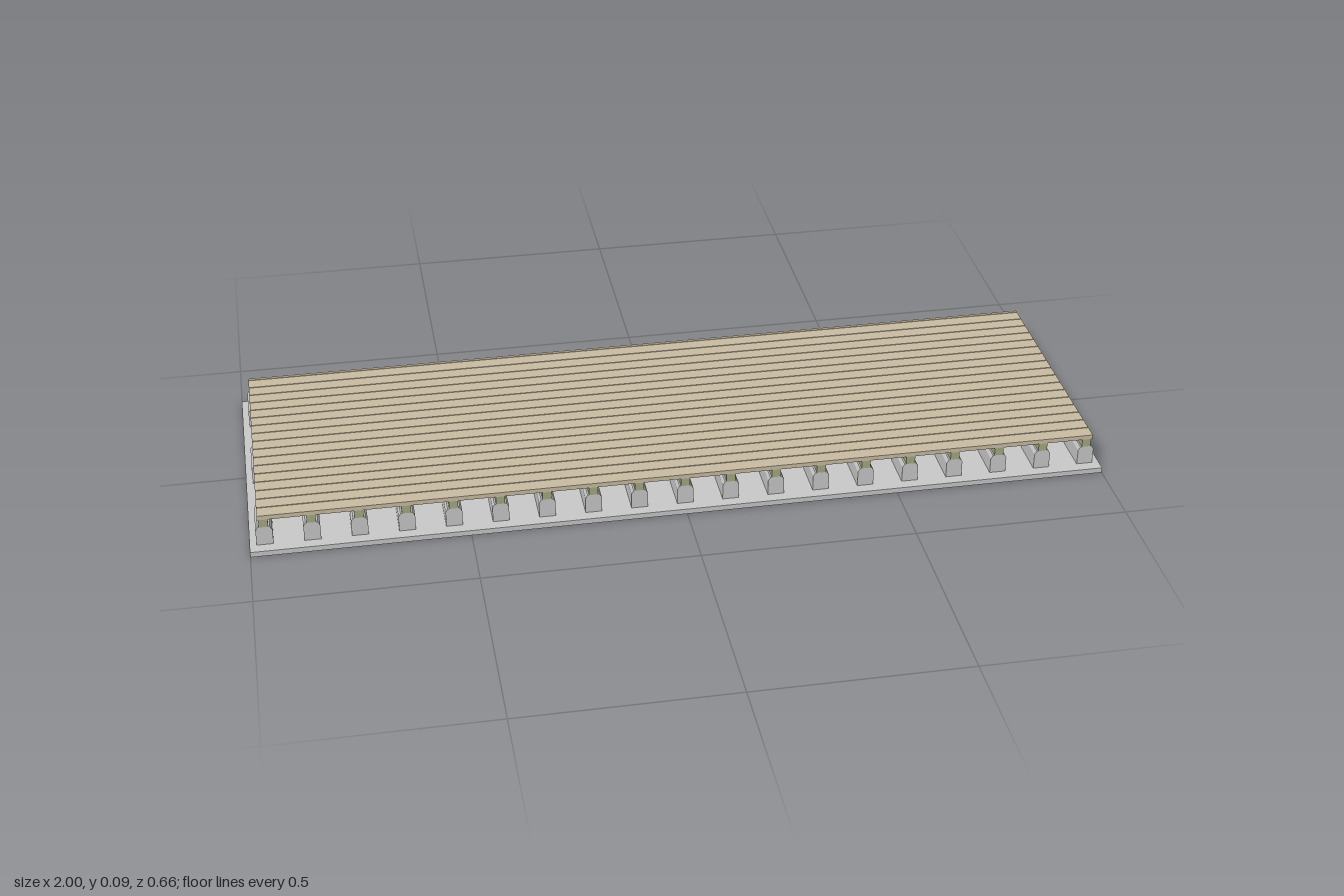
import * as THREE from 'three';

export function createModel() {
  const model = new THREE.Group();
  const material = (name, color) => {
    const m = new THREE.MeshStandardMaterial({ color });
    m.name = name;
    return m;
  };
  const concrete = material('concrete grey', 0xc8c8c8);
  const joistWood = material('joist green', 0xa4a880);
  const boardWood = material('board tan', 0xc8bca2);

  const add = (name, geometry, mat, x, y, z) => {
    const mesh = new THREE.Mesh(geometry, mat);
    mesh.name = name;
    mesh.position.set(x, y, z);
    model.add(mesh);
  };

  // Ground slab
  add('slab', new THREE.BoxGeometry(2, 0.013, 0.66), concrete, 0, 0.0065, 0);

  // Support block: straight sides with bevelled shoulders along the top
  const profile = new THREE.Shape([
    [-0.019, 0], [0.019, 0], [0.019, 0.038], [0.014, 0.047], [-0.014, 0.047], [-0.019, 0.038],
  ].map(([x, y]) => new THREE.Vector2(x, y)));
  const block = new THREE.ExtrudeGeometry(profile, { depth: 0.095, bevelEnabled: false });
  block.translate(0, 0, -0.0475);

  // Rows of three blocks, each row carrying one joist
  const joist = new THREE.BoxGeometry(0.021, 0.021, 0.606);
  const rows = 19;
  for (let i = 0; i < rows; i++) {
    const x = -0.965 + (1.93 * i) / (rows - 1);
    for (const z of [-0.2555, 0, 0.2555]) add('supportBlock', block, concrete, x, 0.013, z);
    add('joist', joist, joistWood, x, 0.0705, 0);
  }

  // Deck boards laid from the front, with a narrow trimmed board at the back
  const pitch = 0.0354, width = 0.0328, front = 0.305, back = -0.304;
  for (let i = 0; i < 18; i++) {
    const z1 = front - i * pitch;
    const z0 = Math.max(z1 - width, back);
    add('deckBoard', new THREE.BoxGeometry(1.956, 0.011, z1 - z0), boardWood, 0, 0.0865, (z0 + z1) / 2);
  }
  return model;
}
